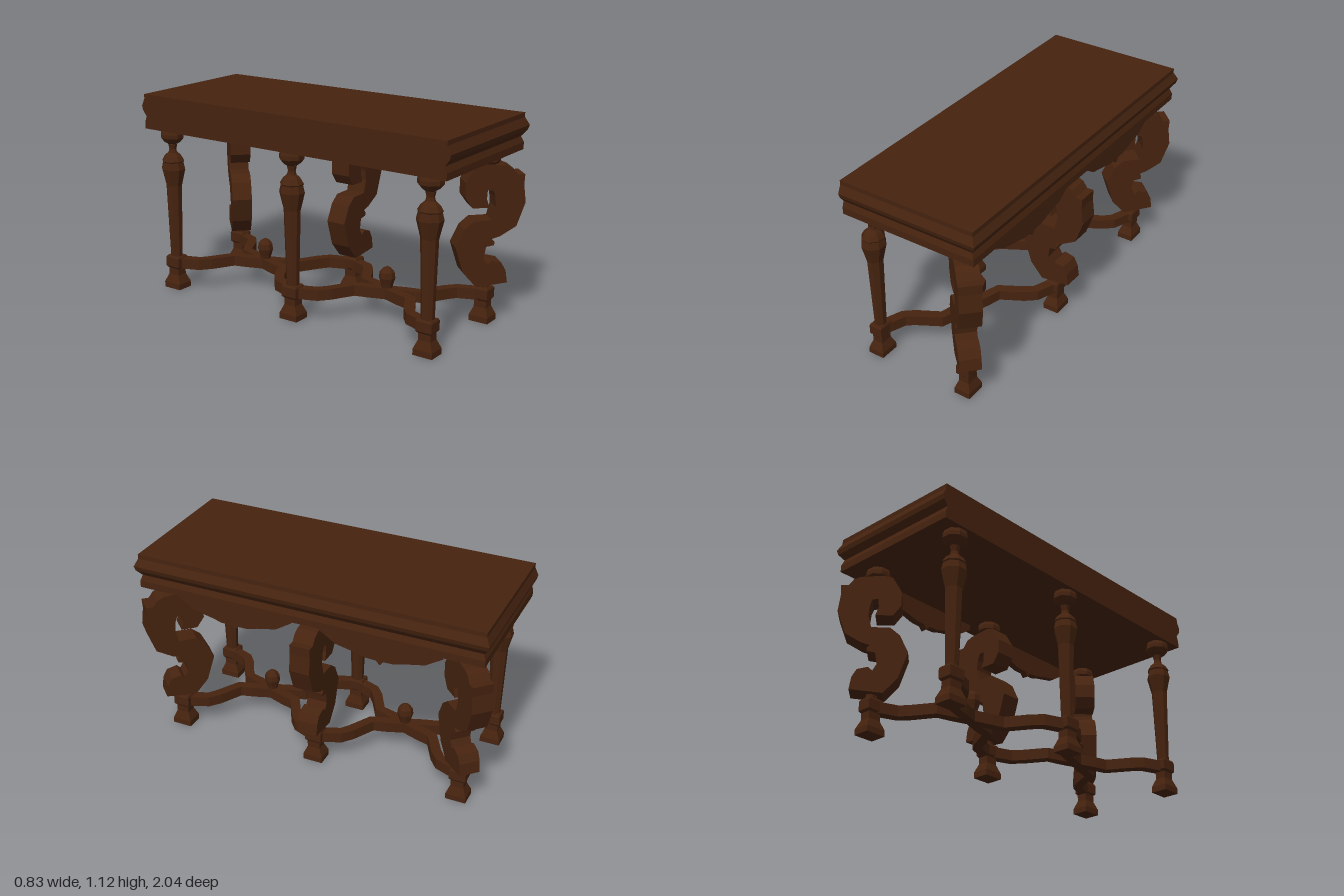
import * as THREE from 'three';

const wood = new THREE.MeshStandardMaterial({ color: 0x46230f });
wood.name = 'dark wood';

function part(name, geometry, parent, x = 0, y = 0, z = 0) {
  const mesh = new THREE.Mesh(geometry, wood);
  mesh.name = name;
  mesh.position.set(x, y, z);
  parent.add(mesh);
  return mesh;
}

function faceted(geometry) {
  const g = geometry.index ? geometry.toNonIndexed() : geometry;
  g.computeVertexNormals();
  return g;
}

// Post with n flat sides; profile is [half width, height] from the bottom up
function turned(profile, n, depthScale = 1.2) {
  const points = profile.map(([r, y]) => new THREE.Vector2(r / Math.cos(Math.PI / n), y));
  const g = new THREE.LatheGeometry(points, n, Math.PI / n);
  g.scale(1, 1, depthScale);
  return faceted(g);
}

function plate(points, depth) {
  const shape = new THREE.Shape(points.map(([x, y]) => new THREE.Vector2(x, y)));
  const g = new THREE.ExtrudeGeometry(shape, { depth, bevelEnabled: false });
  g.translate(0, 0, -depth / 2);
  return g;
}

// Table top: moulded on three sides, flat along the back
function topGeometry() {
  const rings = [[0.93, 0], [0.968, 0], [1.0, -0.012], [1.033, 0.013], [1.058, 0.02], [1.1, 0], [1.125, 0]];
  const pos = [], idx = [];
  for (const [y, out] of rings) {
    const x = 0.37 + out, z = 0.97 + out;
    pos.push(-0.42, y, z, x, y, z, x, y, -z, -0.42, y, -z);
  }
  for (let r = 0; r < rings.length - 1; r++) {
    for (let i = 0; i < 4; i++) {
      const a = r * 4 + i, b = r * 4 + (i + 1) % 4;
      idx.push(a, b, b + 4, a, b + 4, a + 4);
    }
  }
  const t = (rings.length - 1) * 4;
  idx.push(t, t + 1, t + 2, t, t + 2, t + 3, 0, 2, 1, 0, 3, 2);
  const g = new THREE.BufferGeometry();
  g.setAttribute('position', new THREE.Float32BufferAttribute(pos, 3));
  g.setIndex(idx);
  return faceted(g);
}

// Flat band of constant width following a plan path of [x, z] points
function band(path, width, height) {
  const left = [], right = [];
  path.forEach(([x, z], i) => {
    const a = path[Math.max(i - 1, 0)], b = path[Math.min(i + 1, path.length - 1)];
    const dx = b[0] - a[0], dz = b[1] - a[1], k = width / 2 / Math.hypot(dx, dz);
    left.push([x - dz * k, -(z + dx * k)]);
    right.unshift([x + dz * k, -(z - dx * k)]);
  });
  const g = plate([...left, ...right], height);
  g.rotateX(-Math.PI / 2);
  return g;
}

// S-shaped scroll, x measured from the leg axis
const scroll = [
  [0.0, 0.643], [-0.09, 0.643], [-0.13, 0.70], [-0.13, 0.78], [-0.08, 0.865], [-0.035, 0.875],
  [0.085, 0.865], [0.12, 0.85], [0.145, 0.815], [0.185, 0.815], [0.182, 0.76], [0.194, 0.663], [0.149, 0.536],
  [0.063, 0.485], [0.02, 0.472], [0.036, 0.455], [0.032, 0.437], [-0.01, 0.43], [-0.02, 0.366],
  [0.0, 0.33], [0.022, 0.35], [0.078, 0.336], [0.102, 0.292], [0.112, 0.226],
  [-0.057, 0.208], [-0.13, 0.292], [-0.175, 0.435], [-0.13, 0.53], [-0.08, 0.572], [0.018, 0.574],
  [0.036, 0.643], [0.03, 0.70], [0.018, 0.733], [-0.012, 0.738], [-0.015, 0.69],
];

const foot = [[0, 0], [0.047, 0], [0.047, 0.032], [0.03, 0.08], [0.03, 0.118], [0.036, 0.125],
  [0.039, 0.13], [0.039, 0.182], [0.034, 0.192], [0, 0.192]];
const ball = [[0.024, 0.85], [0.042, 0.862], [0.06, 0.886], [0.06, 0.908], [0.052, 0.932]];
const shaft = [[0.03, 0.19], [0.04, 0.61], [0.06, 0.705], [0.052, 0.745], [0.056, 0.752],
  [0.042, 0.78], [0.022, 0.80], [0.018, 0.82], [0.024, 0.85]];

export function createModel() {
  const model = new THREE.Group();
  model.name = 'console table';
  part('table top', topGeometry(), model, 0, 0, -0.005);

  const backX = -0.35, frontX = 0.22, legZ = 0.84;
  const footGeo = turned(foot, 4), ballGeo = turned(ball, 8, 1.05);
  const shaftGeo = turned(shaft, 8, 1.1), neckGeo = turned([[0.025, 0.19], [0.025, 0.25]], 8);
  const scrollGeo = plate(scroll, 0.115);

  for (const s of [-1, 0, 1]) {
    // Turned leg on the plain side
    const back = new THREE.Group();
    back.name = 'turned leg';
    back.position.set(backX, 0, s * legZ);
    part('foot', footGeo, back);
    part('shaft', shaftGeo, back);
    part('capital', ballGeo, back);
    model.add(back);

    // Scroll leg on the moulded side, corner ones turned diagonally
    const front = new THREE.Group();
    front.name = 'scroll leg';
    front.position.set(frontX, 0, s * legZ);
    part('foot', footGeo, front);
    part('neck', neckGeo, front);
    part('capital', ballGeo, front);
    part('scroll', scrollGeo, front).rotation.y = -s * Math.PI / 4;
    model.add(front);
  }

  // Crossed wavy stretchers, finials and aprons for each half
  const half = [[-0.285, 0.42], [-0.235, 0.29], [-0.185, 0.25], [-0.06, 0.18], [-0.035, 0.1]];
  const path = [...half, [0, 0], ...half.map(([x, z]) => [-x, -z]).reverse()];
  const stretcher = band(path, 0.055, 0.06);
  const mirrored = band(path.map(([x, z]) => [x, -z]), 0.055, 0.06);
  const finial = turned([[0.024, 0.17], [0.03, 0.2], [0.04, 0.235], [0.036, 0.268], [0.02, 0.288], [0, 0.3]], 8, 1.05);
  const edge = [[0.34, 0.935], [0.335, 0.9], [0.245, 0.842], [0.13, 0.818], [0.08, 0.803], [0.02, 0.801]];
  const apron = plate([...edge, [0, 0.777], ...edge.map(([x, y]) => [-x, y]).reverse()], 0.04);
  apron.rotateY(Math.PI / 2);
  for (const s of [-1, 1]) {
    part('stretcher', stretcher, model, -0.065, 0.15, s * 0.42);
    part('crossing stretcher', mirrored, model, -0.065, 0.15, s * 0.42);
    part('finial', finial, model, -0.065, 0, s * 0.415);
    part('apron', apron, model, 0.315, 0, s * 0.416);
  }
  return model;
}
